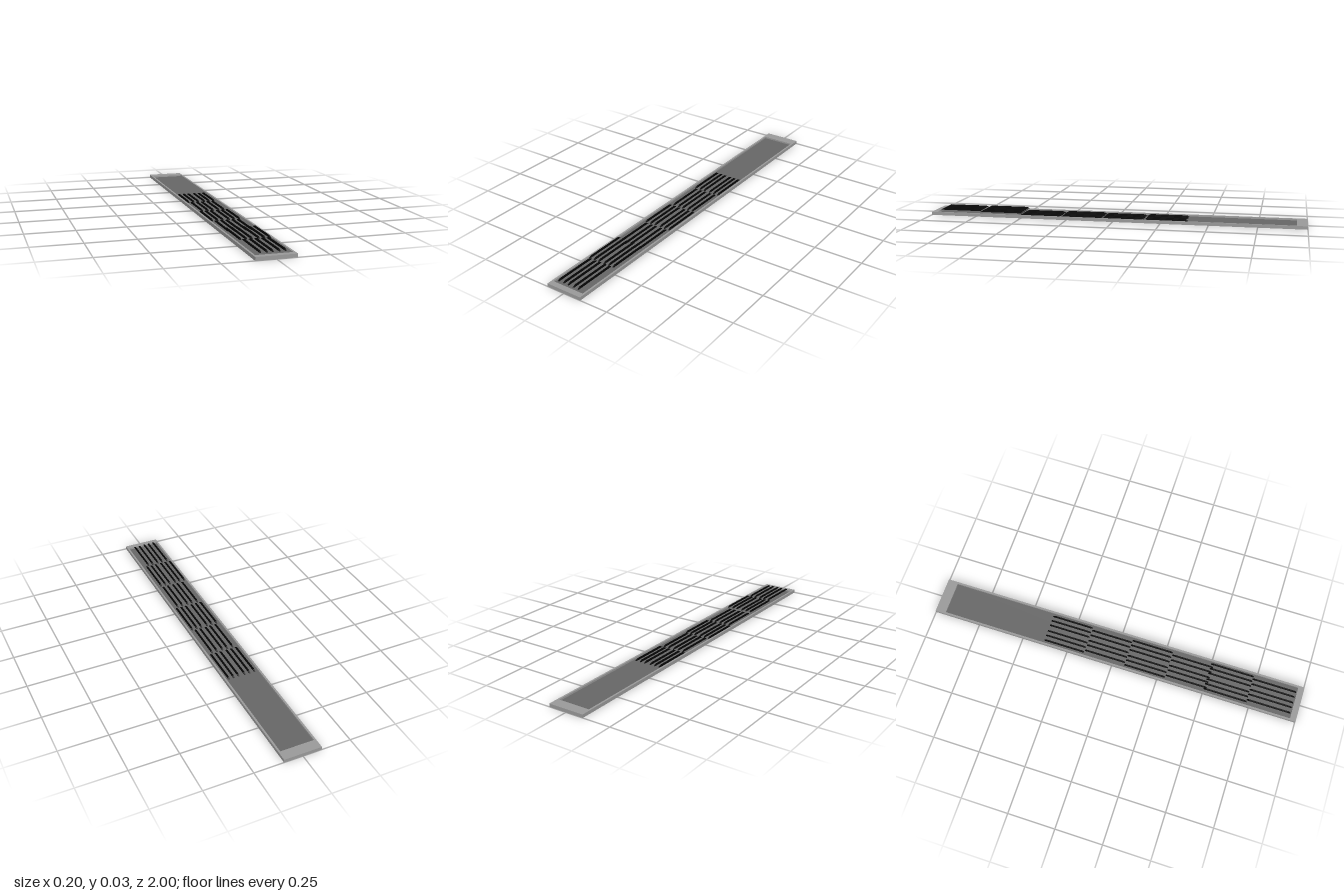
import * as THREE from 'three';

const W = 0.196, L = 2, H = 0.017;     // tray size
const FLOOR = 0.008;                   // top of the sunken panel
const IN_X = 0.088, IN_BACK = -0.945, IN_FRONT = 0.97;

const mat = (color) => new THREE.MeshStandardMaterial({ color, flatShading: true });

function addBox(group, name, w, h, d, x, y, z, material) {
  const mesh = new THREE.Mesh(new THREE.BoxGeometry(w, h, d), material);
  mesh.name = name;
  mesh.position.set(x, y, z);
  group.add(mesh);
}

// Bar running along z with ends that slope in towards the top
function barGeometry(length, width, height, slope) {
  const h = length / 2;
  const profile = new THREE.Shape([
    new THREE.Vector2(-h, 0), new THREE.Vector2(h, 0),
    new THREE.Vector2(h - slope, height), new THREE.Vector2(-h + slope, height),
  ]);
  return new THREE.ExtrudeGeometry(profile, { depth: width, bevelEnabled: false })
    .translate(0, 0, -width / 2)
    .rotateY(-Math.PI / 2);
}

export function createModel() {
  const model = new THREE.Group();
  model.name = 'slottedTray';
  const frameMat = mat(0x999999), panelMat = mat(0x666666), barMat = mat(0x050505);

  // Solid base plate
  const baseH = FLOOR - 0.002;
  addBox(model, 'base', W, baseH, L, 0, baseH / 2, 0, frameMat);

  // Raised rim: outline with a rectangular opening
  const outline = new THREE.Shape([
    new THREE.Vector2(-W / 2, -L / 2), new THREE.Vector2(W / 2, -L / 2),
    new THREE.Vector2(W / 2, L / 2), new THREE.Vector2(-W / 2, L / 2),
  ]);
  outline.holes.push(new THREE.Path([
    new THREE.Vector2(-IN_X, -IN_FRONT), new THREE.Vector2(-IN_X, -IN_BACK),
    new THREE.Vector2(IN_X, -IN_BACK), new THREE.Vector2(IN_X, -IN_FRONT),
  ]));
  const rim = new THREE.Mesh(
    new THREE.ExtrudeGeometry(outline, { depth: H - baseH, bevelEnabled: false }).rotateX(-Math.PI / 2),
    frameMat);
  rim.name = 'rim';
  rim.position.y = baseH;
  model.add(rim);

  // Dark sunken panel
  addBox(model, 'panel', IN_X * 2, FLOOR - baseH, IN_FRONT - IN_BACK,
    0, (FLOOR + baseH) / 2, (IN_FRONT + IN_BACK) / 2, panelMat);

  // Staggered rows of bars; the two front rows sit above the rim
  const six = [-0.072, -0.044, -0.017, 0.017, 0.044, 0.071];
  const five = [-0.06, -0.029, -0.002, 0.03, 0.058];
  const rows = [
    { z0: -0.386, z1: -0.162, y: FLOOR, xs: six, dx: 0.001 },
    { z0: -0.160, z1: 0.064, y: FLOOR, xs: five, dx: 0.001 },
    { z0: 0.064, z1: 0.288, y: FLOOR, xs: six, dx: 0 },
    { z0: 0.290, z1: 0.514, y: FLOOR, xs: five, dx: 0 },
    { z0: 0.500, z1: 0.732, y: 0.022, xs: six, dx: -0.001 },
    { z0: 0.730, z1: 0.964, y: 0.023, xs: five, dx: -0.002 },
  ];
  rows.forEach((row, i) => {
    const group = new THREE.Group();
    group.name = `barRow${i + 1}`;
    group.position.set(row.dx, row.y, (row.z0 + row.z1) / 2);
    const geometry = barGeometry(row.z1 - row.z0, 0.0075, 0.0075, 0.014);
    row.xs.forEach((x) => {
      const bar = new THREE.Mesh(geometry, barMat);
      bar.name = 'bar';
      bar.position.x = x;
      group.add(bar);
    });
    model.add(group);
  });

  return model;
}
